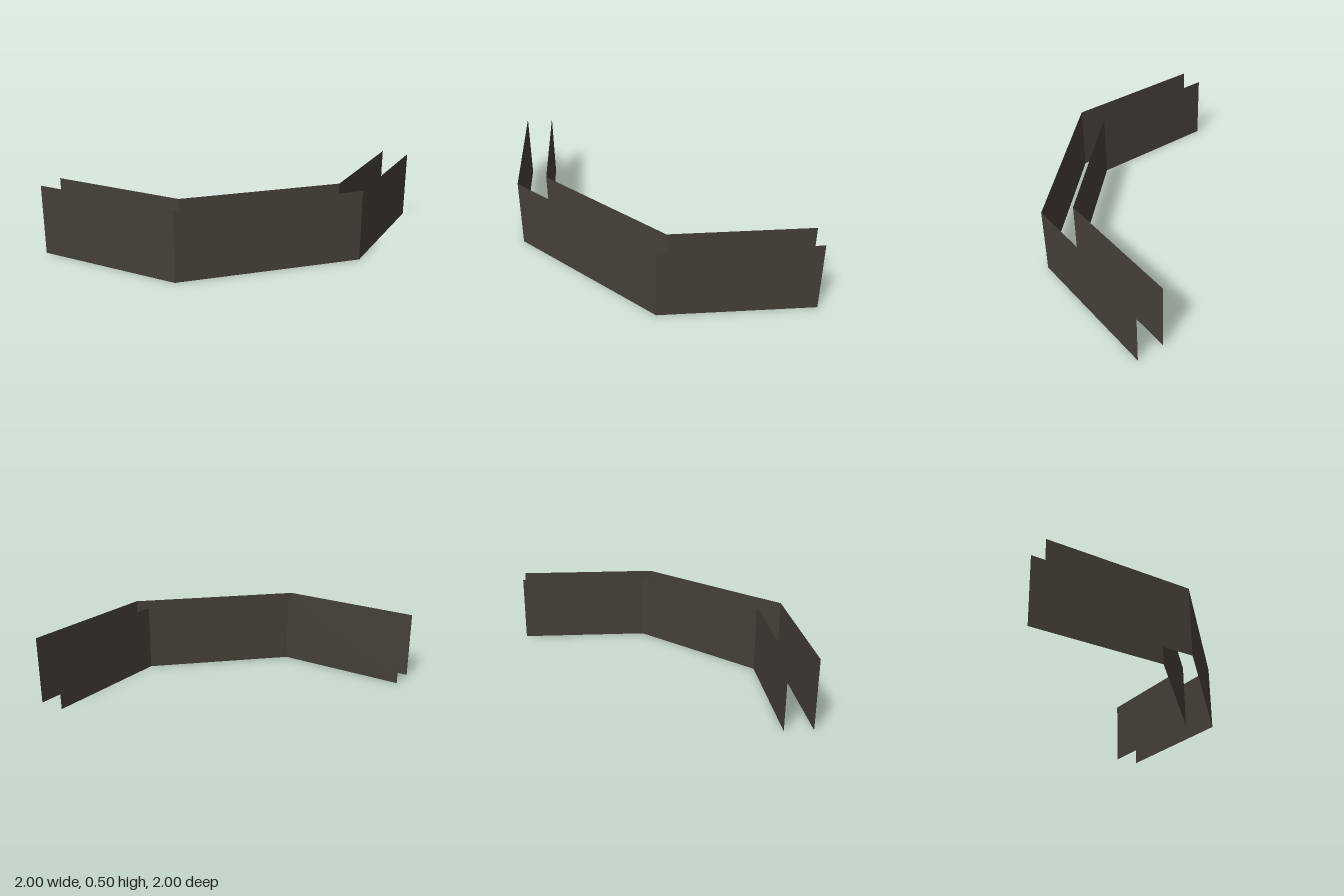
import * as THREE from 'three';

const HEIGHT = 0.5;
const GAP = 0.2; // distance between the two wall faces
const CORNER = 0.075; // where the outer wall starts to turn

// Upright open band following a plan path of [x, z] points, one flat panel per stretch
function wallBand(name, path, material) {
  const band = new THREE.Group();
  band.name = name;
  for (let i = 0; i < path.length - 1; i++) {
    const [x0, z0] = path[i];
    const [x1, z1] = path[i + 1];
    const panel = new THREE.Mesh(
      new THREE.PlaneGeometry(Math.hypot(x1 - x0, z1 - z0), HEIGHT),
      material
    );
    panel.name = `${name}Panel${i + 1}`;
    panel.position.set((x0 + x1) / 2, HEIGHT / 2, (z0 + z1) / 2);
    panel.rotation.y = Math.atan2(z0 - z1, x1 - x0);
    band.add(panel);
  }
  return band;
}

// Plan of the wall turning a chamfered quarter corner, set inwards by d
function cornerPath(d) {
  const edge = 1 - d;
  const turn = CORNER - d * Math.tan(Math.PI / 8);
  return [[-1, edge], [turn, edge], [edge, turn], [edge, -1]];
}

export function createModel() {
  const stone = new THREE.MeshStandardMaterial({ color: 0x453f37, side: THREE.DoubleSide });
  stone.name = 'dark stone';

  const model = new THREE.Group();
  model.name = 'cornerWall';
  // The top, underside and ends stay open
  model.add(wallBand('outerWall', cornerPath(0), stone));
  model.add(wallBand('innerWall', cornerPath(GAP), stone));
  return model;
}
